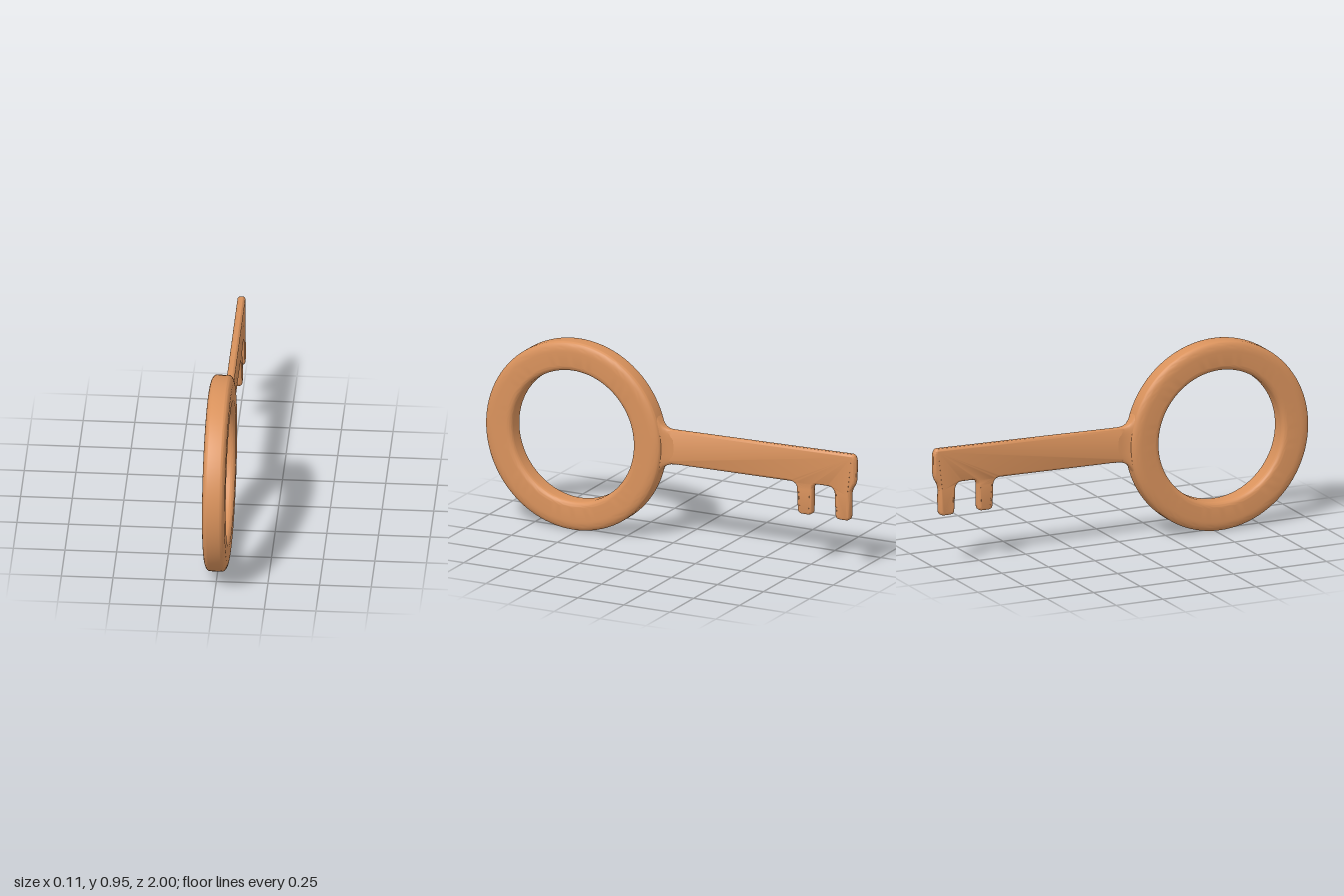
import * as THREE from 'three';
import { toCreasedNormals } from 'three/addons/utils/BufferGeometryUtils.js';

const material = new THREE.MeshStandardMaterial({ color: 0xd9925c });
const CY = 0.475, CZ = 0.525; // centre of the ring

function addPart(group, name, geometry) {
  const mesh = new THREE.Mesh(geometry, material);
  mesh.name = name;
  group.add(mesh);
}

// Ring: soft-cornered rectangle revolved about the x axis
function ringGeometry() {
  const inner = 0.33, outer = 0.475, half = 0.055, mid = (inner + outer) / 2;
  const w = (outer - inner) / 2, n = 48, profile = [];
  const corners = [[1, -1, -Math.PI / 2], [1, 1, 0], [-1, 1, Math.PI / 2], [-1, -1, Math.PI]];
  for (const [sr, sx, start] of corners) {
    const rr = sr > 0 ? 0.05 : 0.03, rx = 0.025;
    for (let i = 0; i <= 8; i++) {
      const a = start + (i / 8) * Math.PI / 2;
      profile.push(new THREE.Vector2(
        mid + sr * (w - rr) + rr * Math.cos(a),
        sx * (half - rx) + rx * Math.sin(a)));
    }
  }
  profile.push(profile[0].clone());
  return toCreasedNormals(new THREE.LatheGeometry(profile, n * 2).rotateZ(-Math.PI / 2), 0.7)
    .translate(0, CY, CZ);
}

// Blade and its two teeth: one outline, drawn as (-z, y), with rounded edges
function bladeGeometry() {
  const s = new THREE.Shape();
  s.moveTo(-0.06, 0.4);
  s.lineTo(0.0, 0.402);
  s.lineTo(0.64, 0.409);
  // each tooth: left side, right side, height of the blade edge after it
  for (const [a, b] of [[0.68, 0.765], [0.885, 0.97]]) {
    s.quadraticCurveTo(a, 0.41, a, 0.37);
    s.lineTo(a + 0.002, 0.33);
    s.lineTo(a + 0.005, 0.275);
    s.quadraticCurveTo(a + 0.006, 0.253, a + 0.03, 0.253);
    s.lineTo(b - 0.025, 0.253);
    s.quadraticCurveTo(b - 0.002, 0.253, b - 0.002, 0.275);
    s.lineTo(b, 0.33);
    s.lineTo(b, 0.38);
    if (b < 0.9) {
      s.quadraticCurveTo(b, 0.412, b + 0.03, 0.412);
      s.lineTo(0.85, 0.412);
    }
  }
  s.bezierCurveTo(0.973, 0.43, 0.998, 0.42, 0.999, 0.48);
  s.lineTo(1.0, 0.55);
  s.quadraticCurveTo(0.998, 0.59, 0.975, 0.59);
  s.lineTo(0.0, 0.573);
  s.lineTo(-0.06, 0.573);
  const bevel = 0.013, half = 0.019;
  const g = new THREE.ExtrudeGeometry(s, {
    depth: 2 * (half - bevel), curveSegments: 8,
    bevelThickness: bevel, bevelSize: bevel, bevelOffset: -bevel, bevelSegments: 5,
  });
  g.translate(0, 0, bevel - half).rotateY(Math.PI / 2);
  // teeth are slightly thicker than the blade
  const p = g.attributes.position;
  for (let i = 0; i < p.count; i++) {
    const t = 1 - THREE.MathUtils.smoothstep(p.getY(i), 0.33, 0.41);
    p.setX(i, p.getX(i) * (1 + 0.25 * t));
  }
  return toCreasedNormals(g, 0.8);
}

// Neck: rounded cross-sections flaring from the blade into the ring
function neckGeometry() {
  // z, half height, half thickness
  const sections = [[0.12, 0.195, 0.045], [0.095, 0.178, 0.048], [0.075, 0.148, 0.045],
    [0.06, 0.121, 0.036], [0.045, 0.103, 0.028], [0.025, 0.092, 0.022],
    [0.005, 0.0875, 0.0195], [-0.03, 0.086, 0.0185]];
  const n = 40, pos = [], index = [];
  sections.forEach(([z, h, t], k) => {
    for (let i = 0; i < n; i++) {
      const a = (i / n) * 2 * Math.PI, c = Math.cos(a), d = Math.sin(a);
      const round = (v) => Math.sign(v) * Math.pow(Math.abs(v), 0.45);
      pos.push(t * round(c), 0.487 - 0.08 * Math.max(0, z) + h * round(d), z);
      if (k === 0) continue;
      const j = (i + 1) % n, A = (k - 1) * n, B = k * n;
      index.push(A + i, B + i, A + j, B + i, B + j, A + j);
    }
  });
  const g = new THREE.BufferGeometry();
  g.setAttribute('position', new THREE.Float32BufferAttribute(pos, 3));
  g.setIndex(index);
  g.computeVertexNormals();
  return g;
}

export function createModel() {
  const key = new THREE.Group();
  key.name = 'key';
  addPart(key, 'ring', ringGeometry());
  addPart(key, 'neck', neckGeometry());
  addPart(key, 'bladeWithTeeth', bladeGeometry());
  return key;
}
